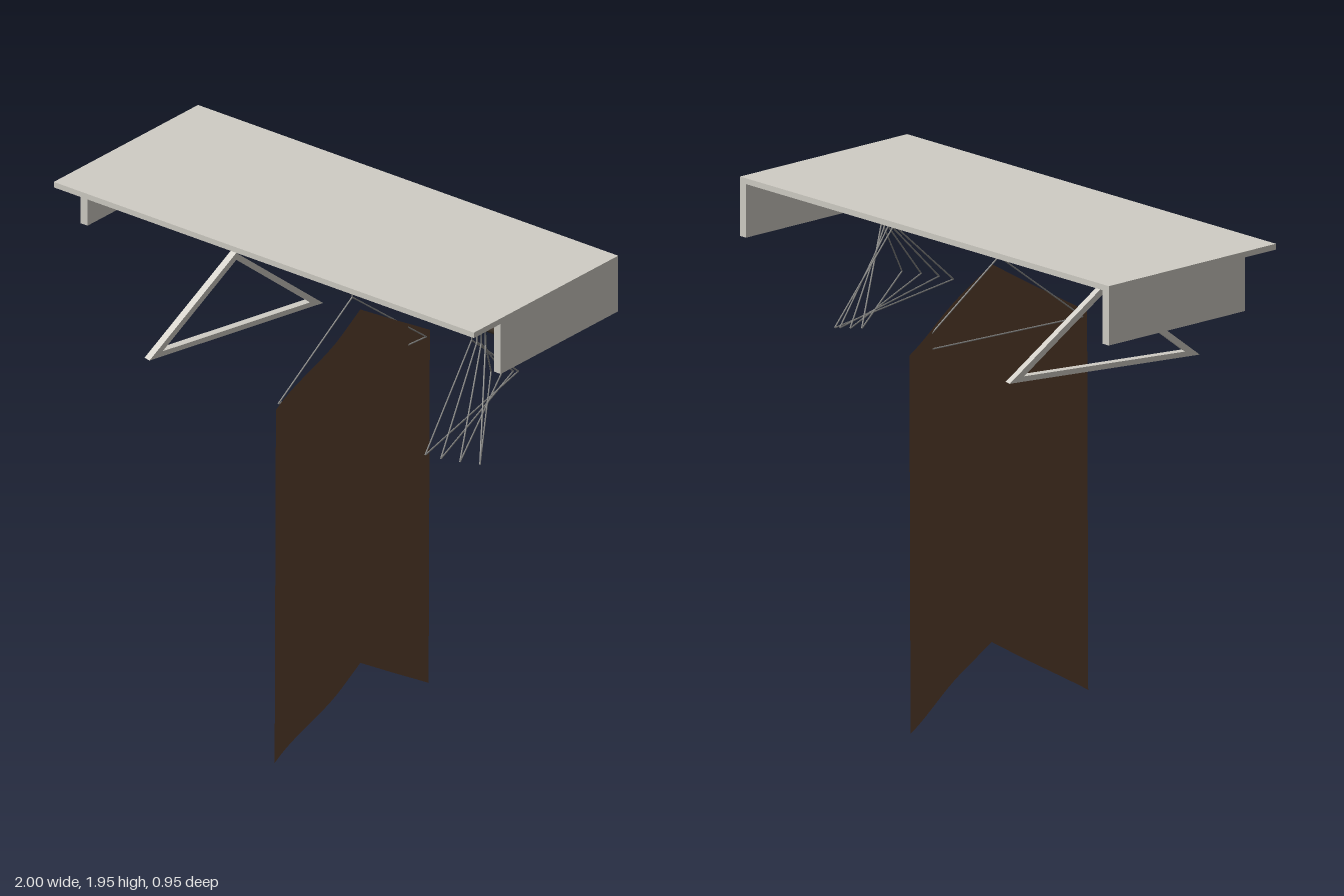
import * as THREE from 'three';

const material = (name, color, side = THREE.FrontSide) => {
  const m = new THREE.MeshStandardMaterial({ color, side });
  m.name = name;
  return m;
};

export function createModel() {
  const model = new THREE.Group();
  model.name = 'wardrobeShelf';
  const panel = material('warm white panel', 0xd0cdc5);
  const rodBrown = material('dark rod', 0x41362c);
  const fabric = material('brown fabric', 0x5f4430, THREE.DoubleSide);
  const wire = material('grey wire', 0x8c8c8a);

  const ROD_Y = 1.815, ROD_Z = 0.04;

  const add = (parent, name, geometry, mat) => {
    const mesh = new THREE.Mesh(geometry, mat);
    mesh.name = name;
    parent.add(mesh);
    return mesh;
  };

  // Box given by its limits on each axis
  const panelBox = (name, x0, x1, y0, y1, z0, z1) => {
    const mesh = add(model, name, new THREE.BoxGeometry(x1 - x0, y1 - y0, z1 - z0), panel);
    mesh.position.set((x0 + x1) / 2, (y0 + y1) / 2, (z0 + z1) / 2);
  };

  // Shelf board and end supports
  panelBox('shelfBoard', -1, 0.97, 1.928, 1.95, -0.475, 0.35);
  panelBox('rightSupport', -1, -0.967, 1.726, 1.928, -0.475, 0.197);
  panelBox('leftSupport', 0.938, 0.97, 1.726, 1.928, -0.475, 0.197);

  // Hanging rod
  const rod = add(model, 'hangingRod', new THREE.CylinderGeometry(0.032, 0.032, 1.905, 24), rodBrown);
  rod.rotation.z = Math.PI / 2;
  rod.position.set(-0.0145, ROD_Y, ROD_Z);

  // Hook bent over the rod, then down to the neck of the hanger
  const addHook = (parent) => {
    const points = [];
    for (let i = 0; i <= 10; i++) {
      const a = -0.3 + (i / 10) * (Math.PI + 0.6);
      points.push(new THREE.Vector3(0, ROD_Y + 0.035 * Math.sin(a), -0.035 * Math.cos(a)));
    }
    points.push(new THREE.Vector3(0, 1.772, 0.008), new THREE.Vector3(0, 1.75, 0), new THREE.Vector3(0, 1.72, 0));
    add(parent, 'hook', new THREE.TubeGeometry(new THREE.CatmullRomCurve3(points), 40, 0.003, 6), wire);
  };

  const startHanger = (name, x, turn) => {
    const hanger = new THREE.Group();
    hanger.name = name;
    hanger.position.set(x, 0, ROD_Z);
    hanger.rotation.y = turn;
    model.add(hanger);
    addHook(hanger);
    return hanger;
  };

  // Thin wire hangers: [x, turn about the vertical]
  const wireHangers = [[0.145, -0.08], [0.705, 0.235], [0.73, 0.34], [0.75, 0.485], [0.77, 0.635]];
  for (const [x, turn] of wireHangers) {
    const hanger = startHanger('wireHanger', x, turn);
    const corners = [[1.722, 0], [1.427, 0.387], [1.427, -0.387]].map(([y, z]) => new THREE.Vector3(0, y, z));
    corners.forEach((a, i) => {
      const side = new THREE.LineCurve3(a, corners[(i + 1) % 3]);
      add(hanger, 'hangerWire', new THREE.TubeGeometry(side, 1, 0.003, 6), wire);
    });
  }

  // Thick triangular hanger with an open middle
  const thick = startHanger('thickHanger', -0.41, -0.235);
  const triangle = (Type, half, bottom, top) => {
    const t = new Type();
    t.moveTo(-half, bottom);
    t.lineTo(half, bottom);
    t.lineTo(0, top);
    t.closePath();
    return t;
  };
  const frame = triangle(THREE.Shape, 0.395, 1.417, 1.735);
  frame.holes.push(triangle(THREE.Path, 0.335, 1.437, 1.707));
  const frameGeometry = new THREE.ExtrudeGeometry(frame, { depth: 0.03, bevelEnabled: false });
  frameGeometry.translate(0, 0, -0.015).rotateY(-Math.PI / 2);
  add(thick, 'hangerFrame', frameGeometry, panel);

  // Hanging garment: a sheet with peaked top and bottom whose side edges curl over
  const cloth = new THREE.PlaneGeometry(2, 1, 32, 8);
  const p = cloth.attributes.position;
  for (let i = 0; i < p.count; i++) {
    const s = p.getX(i), t = Math.abs(s), v = p.getY(i) + 0.5;
    const bottom = 0.26 - 0.255 * t, top = 1.685 - 0.255 * t;
    const curl = s > 0
      ? 0.046 * THREE.MathUtils.smoothstep(t, 0.25, 0.95)
      : 0.036 * THREE.MathUtils.smoothstep(t, 0.35, 1);
    p.setXYZ(i, 0.184 - curl + 0.006 * v * t, bottom + (top - bottom) * v, 0.041 + 0.434 * s);
  }
  // Flip the winding so the outer face looks towards +x
  const index = cloth.index.array;
  for (let i = 0; i < index.length; i += 3) [index[i], index[i + 1]] = [index[i + 1], index[i]];
  cloth.computeVertexNormals();
  add(model, 'hangingGarment', cloth, fabric);

  return model;
}
